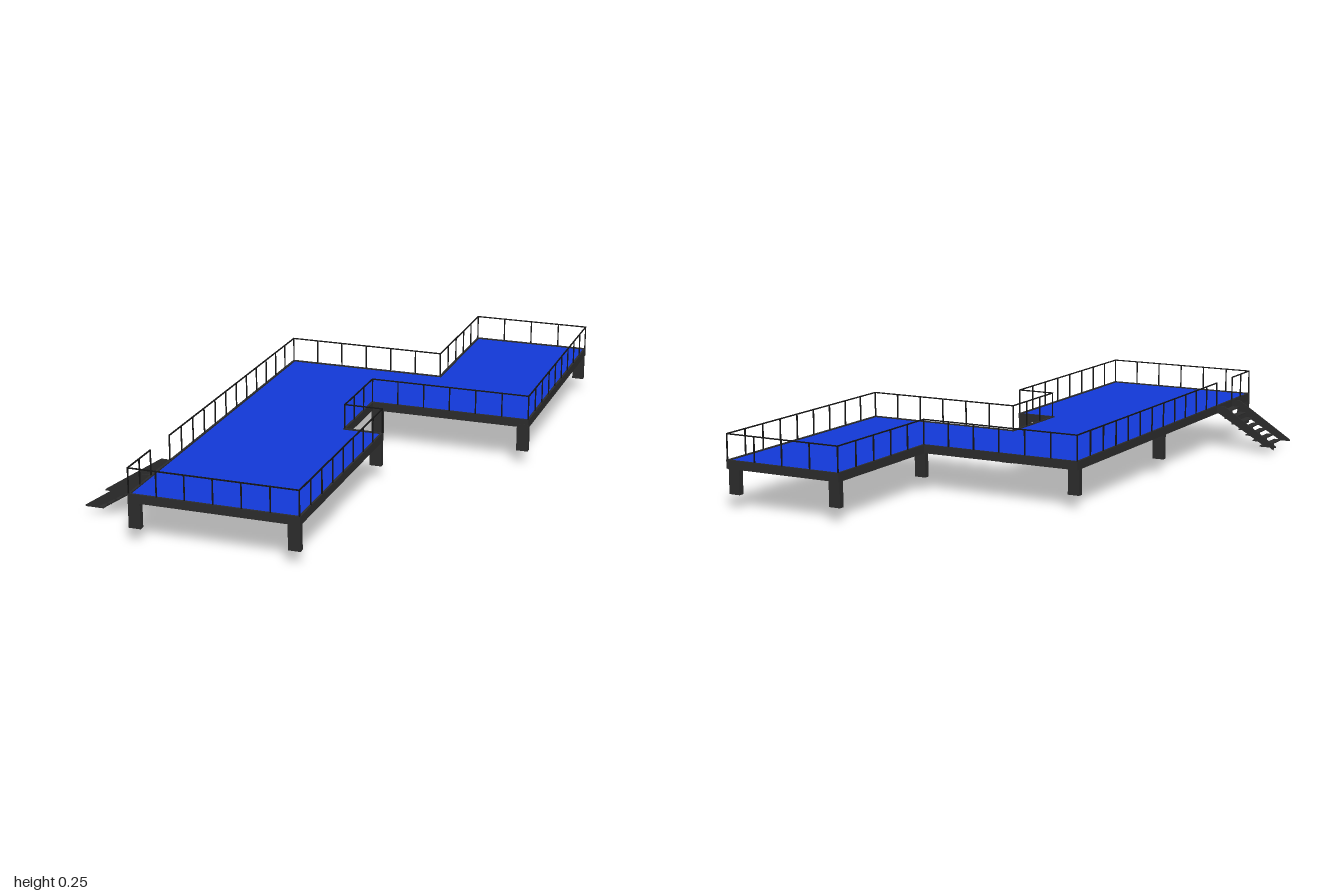
import * as THREE from 'three';

const dark = new THREE.MeshStandardMaterial({ color: 0x2b2b2b });
const black = new THREE.MeshStandardMaterial({ color: 0x141414 });
const blue = new THREE.MeshStandardMaterial({ color: 0x1238d6 });

// Plan of the platform as [x, z] corners
const OUTLINE = [
  [-0.398, 1], [0.19, 1], [0.19, 0.188], [0.053, 0.188], [0.053, -0.104],
  [0.632, -0.104], [0.632, -1], [0.19, -1], [0.19, -0.48], [-0.398, -0.48],
];
const BEAM_BOTTOM = 0.136, BEAM_TOP = 0.166, RAIL_TOP = 0.255;
const STAIR_Z = [0.678, 0.827];

// Moves every edge of the plan inward by d
function inset(points, d) {
  const n = points.length;
  const normal = (a, b) => {
    const dx = b[0] - a[0], dz = b[1] - a[1], l = Math.hypot(dx, dz);
    return [dz / l, -dx / l];
  };
  return points.map((p, i) => {
    const n1 = normal(points[(i + n - 1) % n], p);
    const n2 = normal(p, points[(i + 1) % n]);
    return [p[0] + d * (n1[0] + n2[0]), p[1] + d * (n1[1] + n2[1])];
  });
}

const toVectors = (points) => points.map(([x, z]) => new THREE.Vector2(x, -z));

function plate(name, shape, y, height, material) {
  const geo = new THREE.ExtrudeGeometry(shape, { depth: height, bevelEnabled: false });
  geo.rotateX(-Math.PI / 2);
  const mesh = new THREE.Mesh(geo, material);
  mesh.name = name;
  mesh.position.y = y;
  return mesh;
}

function box(name, size, position, material) {
  const mesh = new THREE.Mesh(new THREE.BoxGeometry(...size), material);
  mesh.name = name;
  mesh.position.set(...position);
  return mesh;
}

// Upright profile in x/y, given a thickness along z
function sidePlate(name, points, z, thickness) {
  const shape = new THREE.Shape(points.map(([x, y]) => new THREE.Vector2(x, y)));
  const geo = new THREE.ExtrudeGeometry(shape, { depth: thickness, bevelEnabled: false });
  const mesh = new THREE.Mesh(geo, dark);
  mesh.name = name;
  mesh.position.z = z - thickness / 2;
  return mesh;
}

// One straight run of handrail with evenly spaced posts
function railRun(a, b) {
  const run = new THREE.Group();
  run.name = 'railRun';
  const t = 0.004;
  const dx = b[0] - a[0], dz = b[1] - a[1];
  const length = Math.hypot(dx, dz);
  run.add(box('handrail', [Math.abs(dx) + t, t, Math.abs(dz) + t],
    [(a[0] + b[0]) / 2, RAIL_TOP - t / 2, (a[1] + b[1]) / 2], black));
  const count = Math.max(1, Math.round(length / 0.097));
  const h = RAIL_TOP - BEAM_TOP;
  for (let i = 0; i <= count; i++) {
    const f = i / count;
    run.add(box('railPost', [t, h, t],
      [a[0] + dx * f, BEAM_TOP + h / 2 - 0.002, a[1] + dz * f], black));
  }
  return run;
}

function createStairs() {
  const stairs = new THREE.Group();
  stairs.name = 'stairs';
  const steps = 7, run = 0.0286, rise = 0.0187, x0 = -0.6, y0 = 0.027;
  const zMid = (STAIR_Z[0] + STAIR_Z[1]) / 2;

  // Sloping side boards
  const side = [[-0.637, 0.026], [-0.598, 0.026], [-0.398, 0.142], [-0.398, 0.166],
    [-0.428, 0.166], [-0.637, 0.031]];
  for (const z of STAIR_Z) stairs.add(sidePlate('sideBoard', side, z, 0.005));

  // Notched centre support
  const notched = [[x0, 0], [-0.398, 0.128]];
  for (let i = steps - 1; i >= 0; i--) {
    const y = y0 + i * rise;
    notched.push([x0 + (i + 1) * run - 0.001, y], [x0 + i * run, y]);
  }
  stairs.add(sidePlate('centreSupport', notched, zMid, 0.005));

  // Treads
  for (let i = 0; i < steps; i++) {
    stairs.add(box('tread', [run - 0.001, 0.004, STAIR_Z[1] - STAIR_Z[0]],
      [x0 + (i + 0.5) * run, y0 + i * rise, zMid], dark));
  }
  return stairs;
}

export function createModel() {
  const model = new THREE.Group();
  model.name = 'raisedDeck';

  // Edge beam around the plan
  const frame = new THREE.Shape(toVectors(OUTLINE));
  const inner = toVectors(inset(OUTLINE, 0.008));
  frame.holes.push(new THREE.Path(inner));
  model.add(plate('edgeBeam', frame, BEAM_BOTTOM, BEAM_TOP - BEAM_BOTTOM, dark));

  // Floor inside the beam
  model.add(plate('floor', new THREE.Shape(inner), 0.146, 0.016, blue));

  // Legs, wide in x and thin in z, as [x, z] centres
  const legs = [[-0.377, 0.989], [0.169, 0.989], [-0.377, 0.202], [0.169, 0.2],
    [0.069, 0.2], [0.069, -0.112], [0.611, -0.112], [0.611, -0.978],
    [0.215, -0.978], [0.215, -0.458], [-0.377, -0.458]];
  const top = 0.147, bottom = 0.048;
  for (const [x, z] of legs) {
    model.add(box('leg', [0.042, top - bottom, 0.02], [x, (top + bottom) / 2, z], dark));
  }

  // Railing on every edge, left open at the stairs
  const railing = new THREE.Group();
  railing.name = 'railing';
  const path = inset(OUTLINE, 0.003);
  for (let i = 0; i < path.length - 1; i++) railing.add(railRun(path[i], path[i + 1]));
  const back = path[path.length - 1], front = path[0];
  railing.add(railRun(back, [back[0], STAIR_Z[0]]));
  railing.add(railRun([front[0], STAIR_Z[1]], front));
  model.add(railing);

  model.add(createStairs());
  return model;
}
